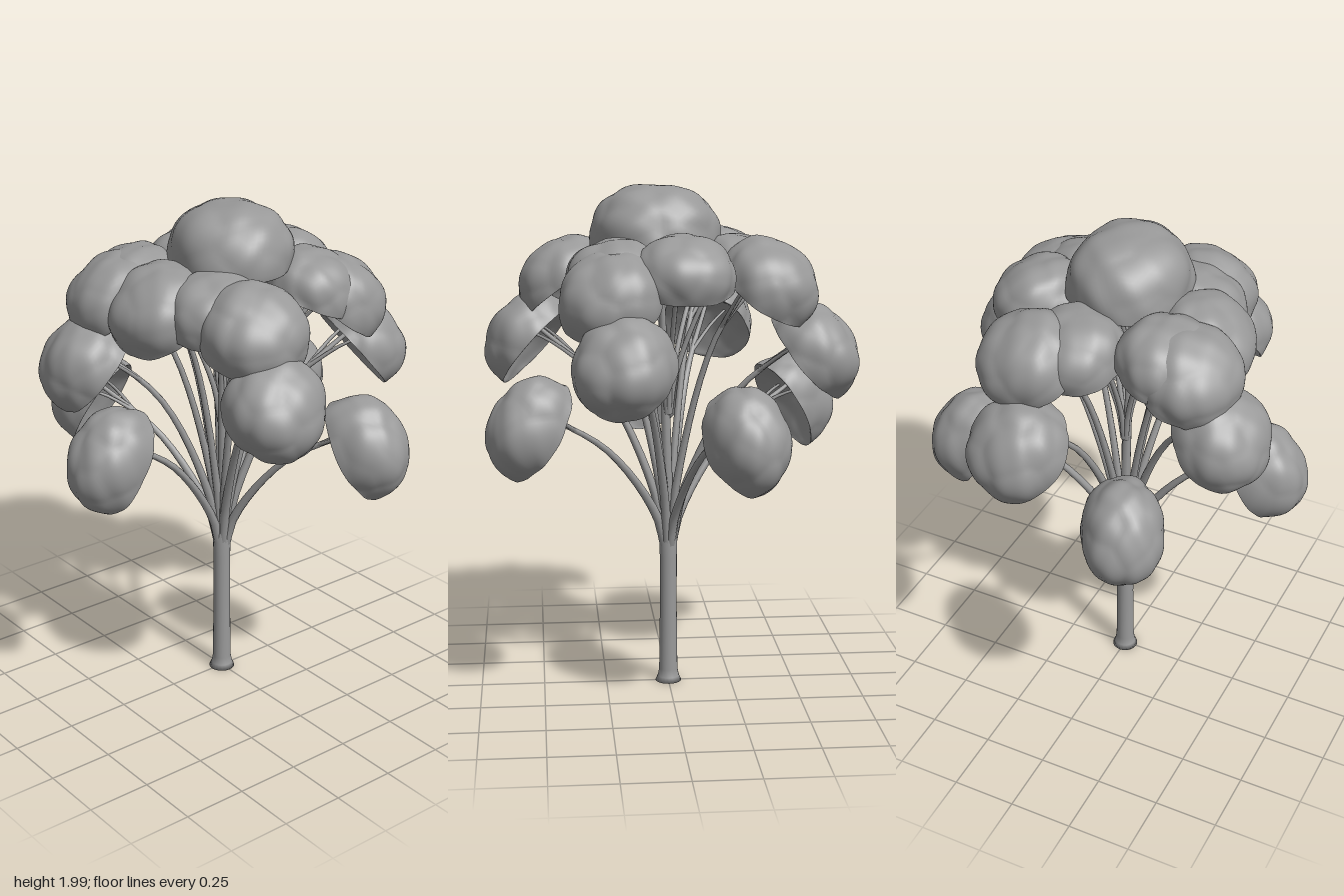
import * as THREE from 'three';
import { mergeVertices } from 'three/addons/utils/BufferGeometryUtils.js';

const grey = new THREE.MeshStandardMaterial({ color: 0x999999 });
grey.name = 'plain grey';

const seeded = (s) => () => {
  s = (s * 16807) % 2147483647;
  return s / 2147483647;
};

function addMesh(parent, geometry, name) {
  const mesh = new THREE.Mesh(geometry, grey);
  mesh.name = name;
  parent.add(mesh);
  return mesh;
}

// Lumpy dome with full shoulders, a rolled rim and a hollow underside
function domeGeometry(rTan, height, rLong, seed) {
  const rand = seeded(seed);
  const lumps = Array.from({ length: 18 }, (_, i) => {
    const y = 1 - (i + 0.5) / 12;
    const a = i * 2.4 + rand() * 1.6;
    const r = Math.sqrt(1 - y * y);
    return new THREE.Vector3(r * Math.cos(a), y, r * Math.sin(a));
  });
  let g = new THREE.IcosahedronGeometry(1, 14);
  g.deleteAttribute('uv');
  g.deleteAttribute('normal');
  g = mergeVertices(g, 1e-4);
  const p = g.attributes.position;
  const v = new THREE.Vector3();
  for (let i = 0; i < p.count; i++) {
    v.fromBufferAttribute(p, i).normalize();
    const flat = Math.hypot(v.x, v.z);
    const near = Math.max(...lumps.map((d) => d.dot(v)));
    const ripple = 0.015 * Math.sin(9 * v.x + seed) * Math.sin(8 * v.z + 7 * v.y);
    const shoulder = Math.pow(flat ** 2.4 + Math.abs(v.y) ** 2.4, -1 / 2.4);
    const k = (0.9 + 0.11 * Math.max(0, near) ** 4 + ripple) * shoulder;
    const y = v.y >= 0 ? v.y : -0.48 * v.y - 0.45 * Math.sqrt(-v.y) * flat;
    p.setXYZ(i, v.x * k * rTan, y * k * height, v.z * k * rLong);
  }
  g.computeVertexNormals();
  return g;
}

// Tube that narrows from r0 to r1
function taperedTube(curve, r0, r1, segments = 14, sides = 8) {
  const g = new THREE.TubeGeometry(curve, segments, 1, sides, false);
  const p = g.attributes.position;
  const v = new THREE.Vector3();
  for (let i = 0; i <= segments; i++) {
    const c = curve.getPointAt(i / segments);
    const r = THREE.MathUtils.lerp(r0, r1, i / segments);
    for (let j = 0; j <= sides; j++) {
      const n = i * (sides + 1) + j;
      v.fromBufferAttribute(p, n).sub(c).multiplyScalar(r).add(c);
      p.setXYZ(n, v.x, v.y, v.z);
    }
  }
  return g;
}

// Tiers of foliage: tilt in degrees, long and cross radius, depth,
// height and radius where the branch starts, rim centres
const tiers = [
  { tilt: 30, long: 0.205, cross: 0.155, deep: 0.19, root: 0.55, thick: 0.02, at: [
    [0.045, 1.09, 0.53], [-0.23, 1.09, -0.51], [0.51, 1.09, -0.25], [-0.5, 1.09, 0.235]] },
  { tilt: 40, long: 0.2, cross: 0.19, deep: 0.18, root: 0.55, thick: 0.02, at: [
    [0.195, 1.36, -0.515], [-0.525, 1.35, -0.16], [0.52, 1.36, 0.18], [-0.195, 1.385, 0.47]] },
  { tilt: 54, long: 0.2, cross: 0.2, deep: 0.18, root: 0.55, thick: 0.018, at: [
    [0.23, 1.58, -0.36], [-0.35, 1.61, -0.2], [0.38, 1.59, 0.16], [-0.19, 1.61, 0.34], [0.03, 1.61, 0.3]] },
  { tilt: 68, long: 0.18, cross: 0.19, deep: 0.16, root: 1.1, thick: 0.012, at: [
    [-0.03, 1.66, -0.33], [-0.27, 1.64, -0.06], [-0.2, 1.65, 0.26], [0.21, 1.63, 0.2], [0.22, 1.64, -0.25]] },
  { tilt: 90, long: 0.235, cross: 0.25, deep: 0.22, root: 0.55, thick: 0.024, at: [[0.05, 1.77, 0]] },
];

function addBough(tree, tier, centre, seed) {
  const bough = new THREE.Group();
  bough.name = 'bough';
  tree.add(bough);
  const [x, y, z] = centre;
  const azimuth = tier.tilt === 90 ? 0 : Math.atan2(x, z);

  // Foliage: tip the dome outwards, then turn it around the trunk
  const foliage = addMesh(bough, domeGeometry(tier.cross, tier.deep, tier.long, seed * 37 + 11), 'foliage');
  foliage.position.set(x, y, z);
  foliage.rotation.set(THREE.MathUtils.degToRad(90 - tier.tilt), azimuth, 0, 'YXZ');
  foliage.updateMatrix();

  // Branch sweeping up from the trunk, then outwards
  const rise = y - tier.root;
  const curve = new THREE.CatmullRomCurve3([
    new THREE.Vector3(x * 0.02, tier.root, z * 0.02),
    new THREE.Vector3(x * 0.1, tier.root + rise * 0.28, z * 0.1),
    new THREE.Vector3(x * 0.48, tier.root + rise * 0.8, z * 0.48),
    new THREE.Vector3(0, tier.deep * 0.4, -tier.long * 0.3).applyMatrix4(foliage.matrix),
  ]);
  addMesh(bough, taperedTube(curve, tier.thick, 0.008), 'branch');

  // Twigs forking into the foliage
  const fork = curve.getPointAt(0.75);
  for (let i = 0; i < 2; i++) {
    const side = i * 2 - 1;
    const tip = new THREE.Vector3(
      side * tier.cross * 0.5, tier.deep * 0.4, -tier.long * 0.2,
    ).applyMatrix4(foliage.matrix);
    const bend = fork.clone().lerp(tip, 0.5);
    bend.y += 0.015;
    const twig = new THREE.CatmullRomCurve3([fork, bend, tip]);
    addMesh(bough, taperedTube(twig, 0.009, 0.005, 6, 6), 'twig');
  }
}

export function createModel() {
  const tree = new THREE.Group();
  tree.name = 'tree';

  // Trunk with a small flare at the foot
  const profile = [[0, 0], [0.052, 0], [0.043, 0.02], [0.037, 0.05], [0.034, 0.3],
    [0.034, 0.52], [0.036, 0.62], [0.026, 0.7], [0, 0.76]];
  addMesh(tree, new THREE.LatheGeometry(profile.map(([r, h]) => new THREE.Vector2(r, h)), 20), 'trunk');

  let seed = 1;
  for (const tier of tiers) {
    for (const centre of tier.at) addBough(tree, tier, centre, seed++);
  }
  return tree;
}
